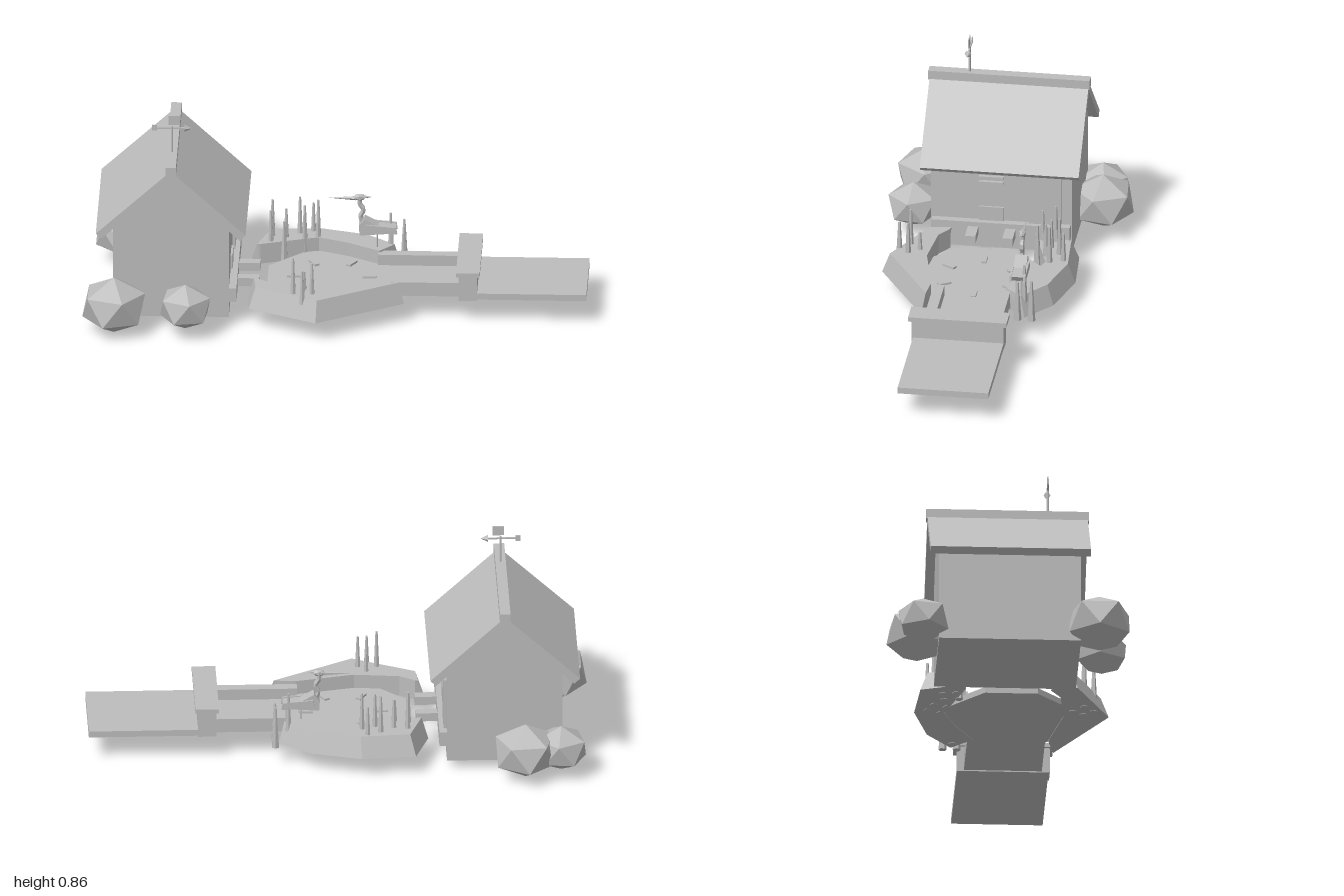
import * as THREE from 'three';

const grey = new THREE.MeshStandardMaterial({ color: 0xbcbcbc, flatShading: true });
grey.name = 'stone grey';

export function createModel() {
  const model = new THREE.Group();
  model.name = 'pondHouse';

  const add = (name, geo, x = 0, y = 0, z = 0) => {
    const m = new THREE.Mesh(geo, grey);
    m.name = name;
    m.position.set(x, y, z);
    model.add(m);
    return m;
  };
  // box given by its limits on each axis
  const box = (name, x0, x1, y0, y1, z0, z1) =>
    add(name, new THREE.BoxGeometry(x1 - x0, y1 - y0, z1 - z0), (x0 + x1) / 2, (y0 + y1) / 2, (z0 + z1) / 2);
  // front outline pushed along z, centred on z = 0
  const prism = (name, pts, depth, x = 0, z = 0) => {
    const shape = new THREE.Shape(pts.map(p => new THREE.Vector2(...p)));
    const geo = new THREE.ExtrudeGeometry(shape, { depth, bevelEnabled: false });
    geo.translate(0, 0, -depth / 2);
    return add(name, geo, x, 0, z);
  };

  // House with gabled roof
  const hx = -0.65;
  prism('houseWalls', [[-0.23, 0.042], [0.23, 0.042], [0.23, 0.43], [0, 0.655], [-0.23, 0.43]], 0.565, hx);
  for (const s of [-1, 1]) {
    prism('roofSlab', [[0, 0.65], [s * 0.275, 0.39], [s * 0.298, 0.412], [0, 0.687]], 0.638, hx);
  }
  box('ridgeCap', hx - 0.021, hx + 0.021, 0.664, 0.704, -0.324, 0.324);

  // Openings and beam on the wall facing the pond
  box('shutter', -0.421, -0.408, 0.165, 0.375, -0.24, -0.11);
  for (const y of [0.335, 0.358, 0.381]) box('ventSlat', -0.421, -0.405, y - 0.005, y + 0.005, -0.01, 0.09);
  box('hatch', -0.421, -0.412, 0.16, 0.225, -0.01, 0.09);
  box('wallBeam', -0.435, -0.39, 0.105, 0.165, -0.278, 0.278);
  for (const z of [-0.04, 0.11]) box('inletSpout', -0.4, -0.305, 0.11, 0.145, z - 0.021, z + 0.021);

  // Weather vane
  const vz = 0.16;
  add('vanePost', new THREE.CylinderGeometry(0.005, 0.005, 0.12, 6), hx, 0.755, vz);
  box('vaneArrow', -0.72, -0.585, 0.803, 0.809, vz - 0.003, vz + 0.003);
  box('vaneTail', -0.73, -0.71, 0.794, 0.818, vz - 0.002, vz + 0.002);
  add('vaneTip', new THREE.ConeGeometry(0.014, 0.03, 6), -0.585, 0.806, vz).rotation.z = -Math.PI / 2;
  box('vaneFlag', -0.664, -0.618, 0.82, 0.859, vz - 0.002, vz + 0.002);

  // Faceted bushes: x, y, z, radius, turn
  for (const [x, y, z, r, turn] of [
    [-0.875, 0.12, 0.355, 0.14, 0.3], [-0.59, 0.127, 0.377, 0.112, 0.2],
    [-0.73, 0.122, -0.365, 0.136, 0.1], [-0.872, 0.122, -0.345, 0.112, 0.5],
  ]) {
    const geo = new THREE.IcosahedronGeometry(r, 0);
    geo.rotateX(-Math.atan((1 + Math.sqrt(5)) / 2));
    geo.rotateY(turn);
    geo.scale(1, 0.84, 1);
    add('bush', geo, x, y, z);
  }

  // Pond floor with radial bars
  const px = -0.02, pz = 0.033;
  add('pondFloor', new THREE.CylinderGeometry(0.275, 0.275, 0.025, 8), px, 0.1, pz).rotation.y = Math.PI / 8;
  for (let i = 0; i < 6; i++) {
    const a = i * Math.PI / 3;
    add('ripple', new THREE.BoxGeometry(0.055, 0.01, 0.021),
      px + Math.cos(a) * 0.15, 0.116, pz + Math.sin(a) * 0.15).rotation.y = -a;
  }

  // Crescent banks; each station is outer x, outer z, inner x, inner z
  const bank = (name, stations) => {
    const k = 0.92;
    const rings = stations.map(([ox, oz, ix, iz]) => [
      [ox, 0.085, oz], [px + (ox - px) * k, 0.17, pz + (oz - pz) * k], [ix, 0.17, iz], [ix, 0.085, iz],
    ]);
    const pos = [];
    const quad = (a, b, c, d) => pos.push(...a, ...b, ...c, ...a, ...c, ...d);
    for (let i = 0; i + 1 < rings.length; i++) {
      const r = rings[i], n = rings[i + 1];
      for (let j = 0; j < 4; j++) quad(r[j], r[(j + 1) % 4], n[(j + 1) % 4], n[j]);
    }
    quad(...[...rings[0]].reverse());
    quad(...rings[rings.length - 1]);
    const geo = new THREE.BufferGeometry();
    geo.setAttribute('position', new THREE.Float32BufferAttribute(pos, 3));
    geo.computeVertexNormals();
    add(name, geo);
  };
  bank('backBank', [[-0.35, -0.165, -0.31, -0.15], [-0.295, -0.33, -0.22, -0.18], [-0.08, -0.345, -0.08, -0.225],
    [0.125, -0.285, 0.04, -0.175], [0.245, -0.185, 0.165, -0.1]]);
  bank('frontBank', [[0.275, 0.225, 0.165, 0.2], [-0.07, 0.43, -0.07, 0.25],
    [-0.34, 0.295, -0.25, 0.23], [-0.35, 0.2, -0.31, 0.19]]);

  // Channel, gate and landing board
  box('channelFloor', 0.16, 0.5, 0.105, 0.118, -0.1, 0.17);
  box('channelWall', 0.16, 0.5, 0.105, 0.163, -0.12, -0.078);
  box('channelWall', 0.16, 0.5, 0.105, 0.163, 0.147, 0.19);
  box('gate', 0.492, 0.565, 0.1, 0.21, -0.147, 0.222);
  box('gateLid', 0.482, 0.576, 0.207, 0.226, -0.16, 0.235);
  box('landingBoard', 0.56, 1, 0.105, 0.131, -0.147, 0.217);

  // Reeds: x, z, height of tip
  for (const [x, z, top] of [
    [-0.265, -0.24, 0.325], [-0.21, -0.23, 0.29], [-0.157, -0.27, 0.325], [-0.104, -0.293, 0.29],
    [-0.083, -0.24, 0.325], [-0.136, -0.218, 0.31], [-0.27, -0.187, 0.3], [-0.216, -0.173, 0.26],
    [0.26, -0.216, 0.258], [0.26, -0.16, 0.25], [0.207, -0.18, 0.3],
    [-0.12, 0.285, 0.245], [-0.163, 0.328, 0.322], [-0.088, 0.328, 0.3], [-0.125, 0.368, 0.283],
  ]) {
    const geo = new THREE.CylinderGeometry(0.005, 0.016, top - 0.083, 6);
    add('reed', geo, x, (top + 0.083) / 2, z);
  }

  // Wading bird facing -x
  const bz = -0.155;
  prism('birdBody', [[0.085, 0.222], [0.215, 0.232], [0.23, 0.256], [0.16, 0.262], [0.105, 0.292], [0.082, 0.265]], 0.05, 0, bz);
  for (const s of [-1, 1]) {
    const wing = prism('birdWing', [[0.1, 0.235], [0.235, 0.23], [0.23, 0.258], [0.11, 0.268]], 0.009, 0, bz + s * 0.028);
    wing.position.y = 0.002;
  }
  const neck = new THREE.CatmullRomCurve3([[0.1, 0.265], [0.088, 0.295], [0.1, 0.325], [0.085, 0.35], [0.085, 0.375]]
    .map(([x, y]) => new THREE.Vector3(x, y, bz)));
  add('birdNeck', new THREE.TubeGeometry(neck, 10, 0.01, 6));
  const head = add('birdHead', new THREE.IcosahedronGeometry(0.019, 0), 0.085, 0.378, bz);
  head.scale.set(1.4, 0.8, 0.8);
  add('birdBeak', new THREE.ConeGeometry(0.009, 0.11, 5), 0.013, 0.374, bz).rotation.z = Math.PI / 2;
  add('birdCrest', new THREE.ConeGeometry(0.007, 0.035, 5), 0.118, 0.38, bz).rotation.z = -Math.PI / 2;
  for (const [x, s] of [[0.155, 1], [0.215, -1]]) {
    add('birdLeg', new THREE.CylinderGeometry(0.004, 0.004, 0.12, 5), x, 0.175, bz + s * 0.014);
  }

  return model;
}
